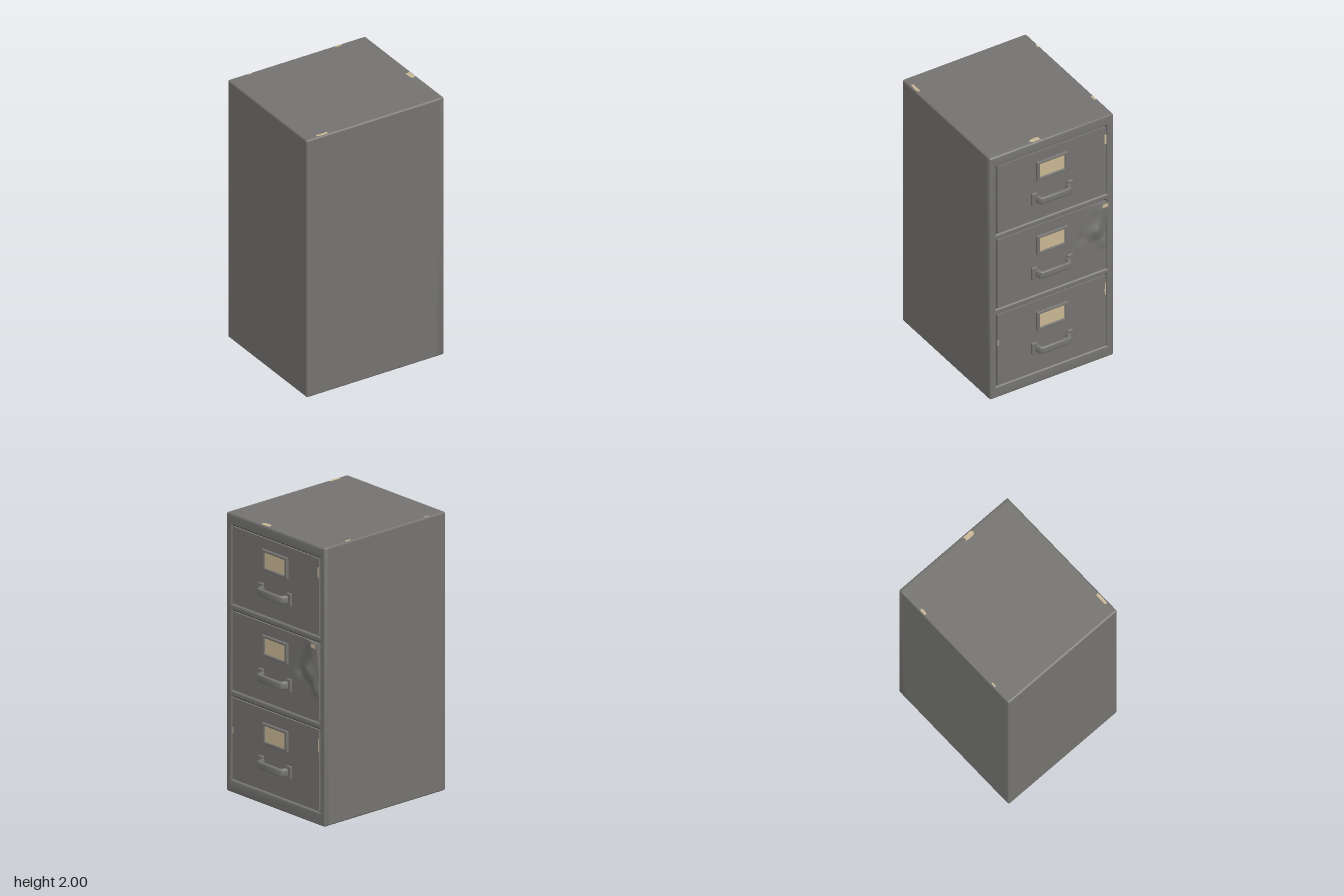
import * as THREE from 'three';
import { toCreasedNormals } from 'three/addons/utils/BufferGeometryUtils.js';
import { RoundedBoxGeometry } from 'three/addons/geometries/RoundedBoxGeometry.js';

const mat = (name, color) => {
  const m = new THREE.MeshStandardMaterial({ color });
  m.name = name;
  return m;
};

const rect = (C, u0, u1, v0, v1) => new C([[u0, v0], [u1, v0], [u1, v1], [u0, v1]].map(p => new THREE.Vector2(...p)));

function roundedRect(u0, u1, v0, v1, r) {
  const s = new THREE.Shape();
  s.absarc(u1 - r, v0 + r, r, -Math.PI / 2, 0);
  s.absarc(u1 - r, v1 - r, r, 0, Math.PI / 2);
  s.absarc(u0 + r, v1 - r, r, Math.PI / 2, Math.PI);
  s.absarc(u0 + r, v0 + r, r, Math.PI, Math.PI * 1.5);
  s.closePath();
  return s;
}

export function createModel() {
  const paint = mat('grey paint', 0x747370);
  const dark = mat('dark seam', 0x2e2d2b);
  const cream = mat('cream card', 0xc8b794);

  const model = new THREE.Group();
  model.name = 'filingCabinet';
  // Built with the drawers facing +z, then turned to face +x
  const cabinet = new THREE.Group();
  cabinet.name = 'cabinet';
  cabinet.rotation.y = Math.PI / 2;
  model.add(cabinet);

  const add = (parent, name, geo, material, x = 0, y = 0, z = 0) => {
    const m = new THREE.Mesh(geo, material);
    m.name = name;
    m.position.set(x, y, z);
    parent.add(m);
    return m;
  };

  const FACE = 0.515, W = 0.443;
  const drawers = [
    { y0: 0.09, y1: 0.69, card: 0.515, grip: 0.3 },
    { y0: 0.73, y1: 1.31, card: 1.145, grip: 0.925, dented: true },
    { y0: 1.35, y1: 1.92, card: 1.76, grip: 1.54 },
  ];

  // Carcass
  add(cabinet, 'carcass', new RoundedBoxGeometry(0.99, 2, 1.08, 3, 0.014), paint, 0, 1, -0.045);

  // Front frame with three drawer openings
  const frame = roundedRect(-0.495, 0.495, 0, 2, 0.014);
  for (const d of drawers) frame.holes.push(rect(THREE.Path, -W, W, d.y0, d.y1));
  const b = 0.01;
  const frameGeo = new THREE.ExtrudeGeometry(frame, {
    depth: 0.05, bevelEnabled: true, bevelThickness: b, bevelSize: b, bevelOffset: -b, bevelSegments: 3, curveSegments: 3,
  });
  add(cabinet, 'frontFrame', toCreasedNormals(frameGeo, 0.6), paint, 0, 0, FACE - 0.05 - b);

  // Bent corner: one raised fold and a shallow valley beside it
  const fold = (x, y, a, c, reach) => {
    const line = new THREE.Line3(new THREE.Vector3(...a, 0), new THREE.Vector3(...c, 0));
    const p = new THREE.Vector3(x, y, 0);
    const q = line.closestPointToPoint(p, true, new THREE.Vector3());
    return Math.max(0, 1 - p.distanceTo(q) / reach);
  };
  const dent = (x, y) =>
    0.03 * fold(x, y, [0.4, 1.27], [0.345, 1.1], 0.1)
    + 0.01 * fold(x, y, [0.345, 1.1], [0.41, 0.96], 0.05)
    - 0.011 * fold(x, y, [0.34, 1.2], [0.25, 1.06], 0.06);

  // Handle outline seen from above: a bracket with two sloped legs
  const gripShape = new THREE.Shape([
    [-0.145, 0], [-0.128, 0.05], [-0.112, 0.065], [0.112, 0.065], [0.128, 0.05], [0.145, 0],
    [0.112, 0], [0.098, 0.034], [0.09, 0.04], [-0.09, 0.04], [-0.098, 0.034], [-0.112, 0],
  ].map(p => new THREE.Vector2(...p)));
  const gripGeo = new THREE.ExtrudeGeometry(gripShape, {
    depth: 0.036, bevelEnabled: true, bevelThickness: 0.01, bevelSize: 0.008, bevelOffset: -0.008, bevelSegments: 2,
  });
  gripGeo.translate(0, 0, -0.018).rotateX(Math.PI / 2);
  const grip = toCreasedNormals(gripGeo, 0.8);
  const mount = new RoundedBoxGeometry(0.045, 0.095, 0.022, 2, 0.006);

  // Label holder ring
  const ring = rect(THREE.Shape, -0.125, 0.125, -0.075, 0.075);
  ring.holes.push(rect(THREE.Path, -0.1, 0.1, -0.056, 0.056));
  const ringGeo = new THREE.ExtrudeGeometry(ring, {
    depth: 0.012, bevelEnabled: true, bevelThickness: 0.006, bevelSize: 0.006, bevelOffset: -0.006, bevelSegments: 2,
  });

  drawers.forEach((d, i) => {
    const g = new THREE.Group();
    g.name = 'drawer' + (i + 1);
    cabinet.add(g);
    const yc = (d.y0 + d.y1) / 2, h = d.y1 - d.y0;
    add(g, 'seam', new THREE.PlaneGeometry(W * 2, h), dark, 0, yc, 0.4965);

    // Drawer front
    const n = d.dented ? 48 : 1;
    const panel = new THREE.BoxGeometry(W * 2 - 0.018, h - 0.018, 0.02, n, n, 1);
    if (d.dented) {
      const p = panel.attributes.position;
      for (let k = 0; k < p.count; k++) {
        if (p.getZ(k) > 0) p.setZ(k, p.getZ(k) + dent(p.getX(k), p.getY(k) + yc));
      }
      panel.computeVertexNormals();
    }
    add(g, 'drawerFront', panel, paint, 0, yc, FACE - 0.012);

    add(g, 'labelHolder', ringGeo, paint, 0, d.card, FACE - 0.003);
    add(g, 'labelCard', new THREE.BoxGeometry(0.2, 0.112, 0.008), cream, 0, d.card, FACE + 0.001);

    add(g, 'handle', grip, paint, 0, d.grip, FACE);
    for (const s of [-1, 1]) add(g, 'handleMount', mount, paint, s * 0.142, d.grip, FACE + 0.004);
  });

  // Worn paint chips: thin irregular plates [x, y, z, half width, half height]
  const chipShape = new THREE.Shape([
    [-1, -0.3], [-0.5, -1], [0.3, -0.8], [1, -0.9], [0.8, 0.2], [1, 0.8], [0.2, 1], [-0.7, 0.8],
  ].map(p => new THREE.Vector2(...p)));
  const chipGeo = new THREE.ShapeGeometry(chipShape);
  const chip = (x, y, z, w, h, flat) => {
    const m = add(cabinet, 'paintChip', chipGeo, cream, x, y, z);
    m.scale.set(w, h, 1);
    if (flat) m.rotation.x = -Math.PI / 2;
  };
  chip(0.43, 1.81, FACE, 0.009, 0.045);
  chip(0.41, 1.285, FACE + 0.03, 0.025, 0.016);
  chip(0.43, 0.57, FACE, 0.006, 0.055);
  chip(-0.43, 0.45, FACE, 0.005, 0.025);
  const top = 2.0015;
  chip(-0.12, top, 0.487, 0.042, 0.02, true);
  chip(-0.475, top, -0.45, 0.012, 0.05, true);
  chip(0.478, top, 0.29, 0.01, 0.028, true);
  chip(0.48, top, -0.42, 0.006, 0.02, true);

  return model;
}
